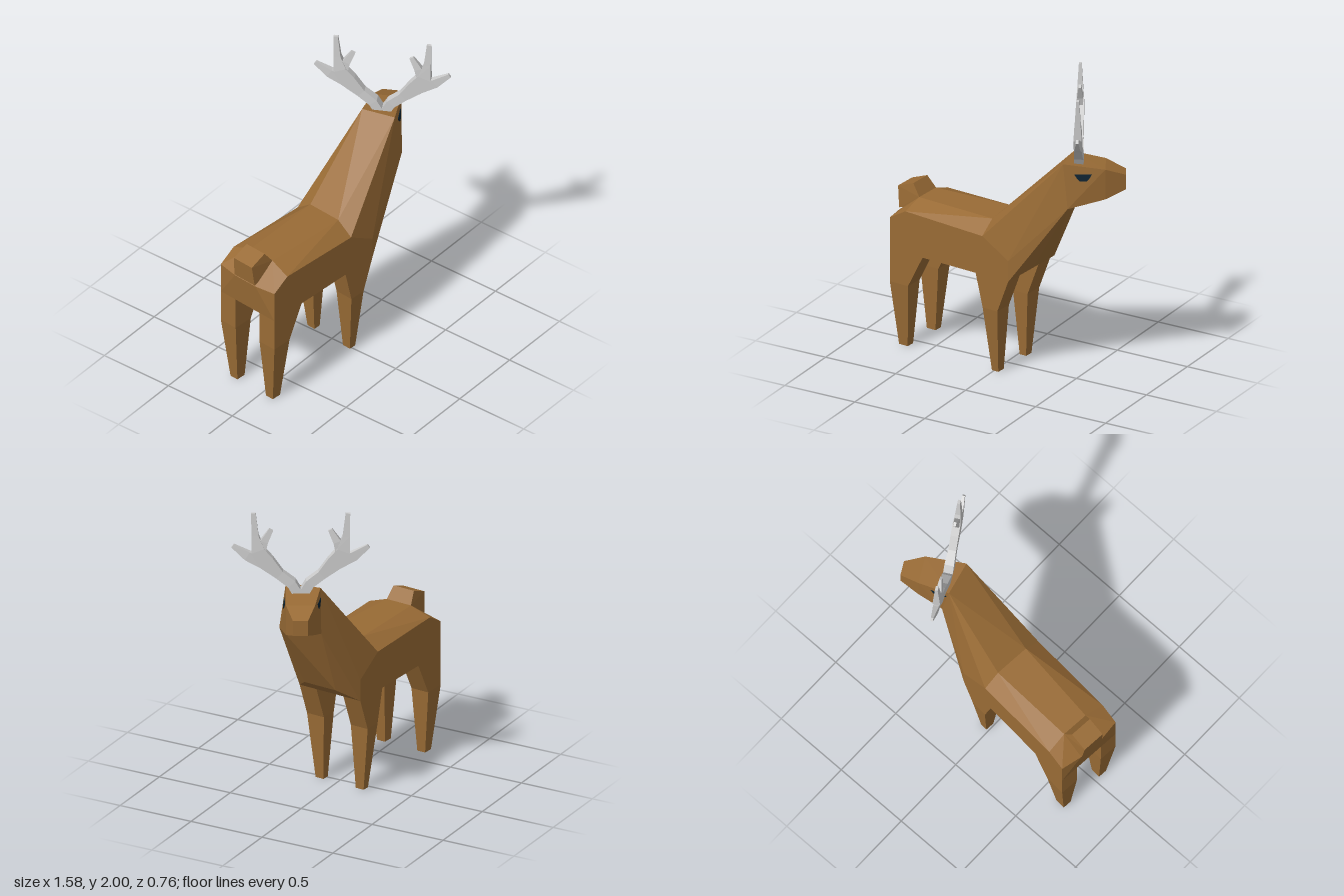
import * as THREE from 'three';
import { ConvexGeometry } from 'three/addons/geometries/ConvexGeometry.js';
import { mergeGeometries } from 'three/addons/utils/BufferGeometryUtils.js';

const V = (x, y, z) => new THREE.Vector3(x, y, z);

// The body and the head are turned different ways: (along, up, side) to model space
const frame = (angle, ox, oz) => (a, y, s) =>
  V(ox + Math.cos(angle) * a + Math.sin(angle) * s, y, oz - Math.sin(angle) * a + Math.cos(angle) * s);
const bodyAt = frame(-0.084, 0, -0.025);
const headAt = frame(0.5, 0.515, -0.005);

// Mirror [along, up, side] points to both sides of a frame
const pairs = (at, points) => points.flatMap(([a, y, s]) => [at(a, y, s), at(a, y, -s)]);

// Join neighbouring rings into a jointed limb
const limb = (rings) => mergeGeometries(
  rings.slice(1).map((ring, i) => new ConvexGeometry([...rings[i], ...ring])));

// Antler branch in the head's cross plane: points are [side, up, half width, half depth]
function branch(points, sign) {
  return limb(points.map(([s, y, w, d], i) => {
    const p = points[Math.max(i - 1, 0)], n = points[Math.min(i + 1, points.length - 1)];
    const dir = new THREE.Vector2(n[0] - p[0], n[1] - p[1]).normalize();
    const ring = [];
    for (const e of [-1, 1]) for (const f of [-1, 1])
      ring.push(headAt(f * d, y + e * w * dir.x, sign * (s - e * w * dir.y)));
    return ring;
  }));
}

export function createModel() {
  const group = new THREE.Group();
  const material = (name, color) => {
    const m = new THREE.MeshStandardMaterial({ color });
    m.name = name;
    return m;
  };
  const coat = material('brown coat', 0x996b35);
  const horn = material('grey antler', 0xcccccc);
  const dark = material('dark eye', 0x0a2230);
  const add = (name, geometry, mat) => {
    const mesh = new THREE.Mesh(geometry, mat);
    mesh.name = name;
    group.add(mesh);
  };

  // Trunk
  add('trunk', new ConvexGeometry(pairs(bodyAt, [
    [-0.737, 0.65, 0.225], [-0.737, 0.86, 0.225], [-0.62, 0.93, 0.225],
    [-0.76, 0.86, 0.085], [-0.61, 0.98, 0.09],
    [-0.04, 0.99, 0.117], [-0.04, 0.91, 0.225],
    [0.155, 0.79, 0.225], [0.155, 0.65, 0.225],
  ])), coat);

  // Tail
  add('tail', new ConvexGeometry(pairs(bodyAt, [
    [-0.765, 0.87, 0.085], [-0.78, 1.01, 0.075], [-0.665, 1.055, 0.075],
    [-0.61, 0.98, 0.09], [-0.62, 0.92, 0.09],
  ])), coat);

  // Legs: rings of [up, back, front, inner side, outer side]
  const legs = {
    rearLeg: [[0.65, -0.737, -0.49, 0.1, 0.225], [0.43, -0.737, -0.6, 0.1, 0.225], [0, -0.7, -0.635, 0.12, 0.178]],
    frontLeg: [[0.65, -0.09, 0.155, 0.1, 0.225], [0.43, -0.037, 0.073, 0.1, 0.225], [0, 0, 0.048, 0.12, 0.178]],
  };
  for (const [name, rings] of Object.entries(legs)) {
    for (const side of [1, -1]) {
      add(name + (side > 0 ? 'Left' : 'Right'), limb(rings.map(([y, a0, a1, s0, s1]) =>
        [[a0, s0], [a1, s0], [a0, s1], [a1, s1]].map(([a, s]) => bodyAt(a, y, side * s)))), coat);
    }
  }

  // Where the neck meets the head: nape and throat corners on each side
  const nape = { 1: V(0.475, 1.485, 0.122), [-1]: V(0.425, 1.48, -0.095) };
  const throat = { 1: V(0.52, 1.2, 0.143), [-1]: V(0.46, 1.19, -0.12) };
  const joint = [nape[1], nape[-1], throat[1], throat[-1]];

  // Neck and chest
  add('neck', new ConvexGeometry([...joint, ...pairs(bodyAt, [
    [-0.04, 0.99, 0.117], [-0.04, 0.91, 0.225],
    [0.155, 0.79, 0.225], [0.155, 0.65, 0.225], [0.265, 0.735, 0.115],
  ])]), coat);

  // Head and muzzle
  add('head', new ConvexGeometry([...joint, ...pairs(headAt, [
    [0.165, 1.45, 0.09], [0.165, 1.25, 0.09], [0.29, 1.4, 0.047], [0.29, 1.3, 0.047],
  ])]), coat);

  for (const side of [1, -1]) {
    const label = side > 0 ? 'Left' : 'Right';

    // Eye: thin plate laid on the cheek
    const cheek = new THREE.Plane().setFromCoplanarPoints(
      nape[side], throat[side], headAt(0.165, 1.45, side * 0.09));
    const plate = [[-0.026, 1.42], [0.082, 1.42], [0.065, 1.39], [0.05, 1.377], [0.008, 1.377], [-0.01, 1.395]]
      .flatMap(([a, y]) => {
        const p = cheek.projectPoint(headAt(a, y, side * 0.1), V());
        return [-0.003, 0.004].map((t) => p.clone().addScaledVector(cheek.normal, t));
      });
    add('eye' + label, new ConvexGeometry(plate), dark);

    // Antler: main beam, inner tine and outer tine
    add('antler' + label, mergeGeometries([
      branch([[0.01, 1.45, 0.03, 0.03], [0.055, 1.53, 0.03, 0.03], [0.13, 1.59, 0.03, 0.025],
        [0.21, 1.67, 0.05, 0.025], [0.265, 1.75, 0.042, 0.025], [0.282, 1.85, 0.022, 0.018],
        [0.292, 2, 0.014, 0.009]], side),
      branch([[0.25, 1.72, 0.03, 0.02], [0.225, 1.81, 0.024, 0.018], [0.182, 1.89, 0.014, 0.008]], side),
      branch([[0.22, 1.665, 0.04, 0.02], [0.33, 1.715, 0.03, 0.018], [0.42, 1.78, 0.013, 0.008]], side),
    ]), horn);
  }
  return group;
}
